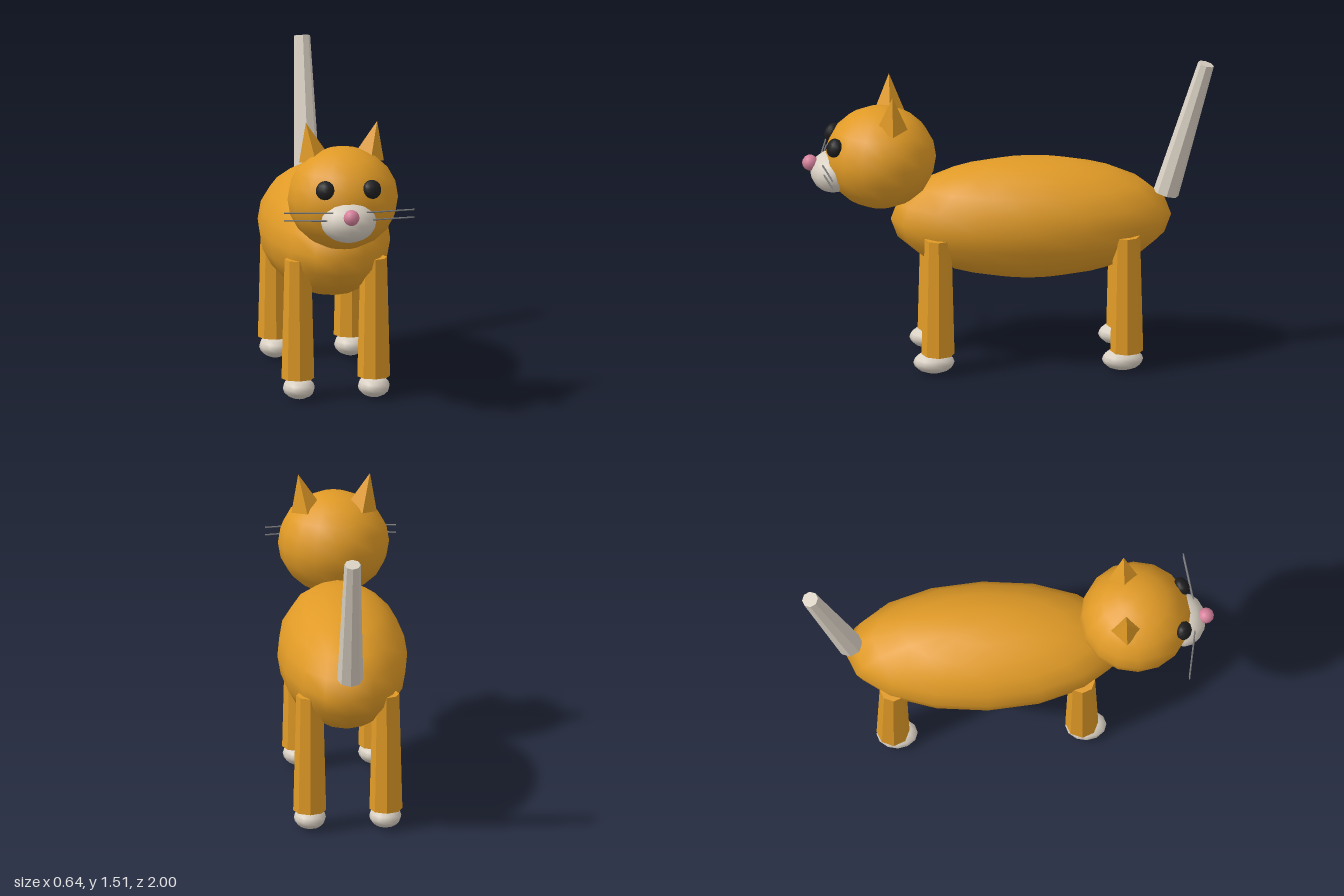
import * as THREE from 'three';

const material = (name, color) => {
  const m = new THREE.MeshStandardMaterial({ color });
  m.name = name;
  return m;
};

export function createModel() {
  const cat = new THREE.Group();
  cat.name = 'cat';
  const fur = material('orangeFur', 0xe09a26);
  const cream = material('cream', 0xd9d0c3);
  const black = material('black', 0x1e1e20);
  const pink = material('pink', 0xd4809a);
  const grey = material('grey', 0x777777);

  const add = (name, geometry, mat, x, y, z) => {
    const mesh = new THREE.Mesh(geometry, mat);
    mesh.name = name;
    mesh.position.set(x, y, z);
    cat.add(mesh);
    return mesh;
  };
  const ellipsoid = (rx, ry, rz, w = 16, h = 10) =>
    new THREE.SphereGeometry(1, w, h).scale(rx, ry, rz);
  // Faceted geometry: unshared vertices give flat normals
  const faceted = (geometry) => {
    const g = geometry.toNonIndexed();
    g.computeVertexNormals();
    return g;
  };

  // Body and head
  add('body', ellipsoid(0.315, 0.295, 0.68), fur, 0, 0.73, -0.11);
  add('head', ellipsoid(0.27, 0.25, 0.27), fur, 0, 1.05, 0.62);
  add('muzzle', ellipsoid(0.135, 0.1, 0.11), cream, 0, 0.98, 0.85);
  add('nose', ellipsoid(0.039, 0.039, 0.039, 12, 8), pink, 0, 1.026, 0.961);

  // Tail leaning backwards
  const tail = faceted(new THREE.CylinderGeometry(0.04, 0.063, 0.688, 8));
  add('tail', tail, cream, 0, 1.168, -0.862).rotation.x = -0.287;

  const leg = faceted(new THREE.CylinderGeometry(0.065, 0.08, 0.59, 8));
  const paw = ellipsoid(0.078, 0.054, 0.1, 12, 8);
  const ear = faceted(new THREE.ConeGeometry(0.075, 0.185, 4));
  const eye = ellipsoid(0.047, 0.047, 0.034, 12, 8);

  for (const side of [-1, 1]) {
    const label = side > 0 ? 'left' : 'right';

    // Legs and paws
    for (const [end, z] of [['Front', 0.35], ['Rear', -0.565]]) {
      add(`${label}${end}Leg`, leg, fur, side * 0.185, 0.393, z);
      add(`${label}${end}Paw`, paw, cream, side * 0.183, 0.055, z + 0.02);
    }

    // Ears tilt outwards
    add(`${label}Ear`, ear, fur, side * 0.154, 1.325, 0.57).rotation.z = -side * 0.22;

    // Eyes lie against the curve of the head
    add(`${label}Eye`, eye, black, side * 0.115, 1.14, 0.85)
      .rotation.set(-0.35, side * 0.42, 0, 'YXZ');

    // Whiskers sweep outwards and back
    for (const y of [1.0, 1.038]) {
      const path = new THREE.LineCurve3(
        new THREE.Vector3(side * 0.08, y, 0.904),
        new THREE.Vector3(side * 0.318, y, 0.866));
      add(`${label}Whisker`, new THREE.TubeGeometry(path, 1, 0.004, 6), grey, 0, 0, 0);
    }
  }
  return cat;
}
